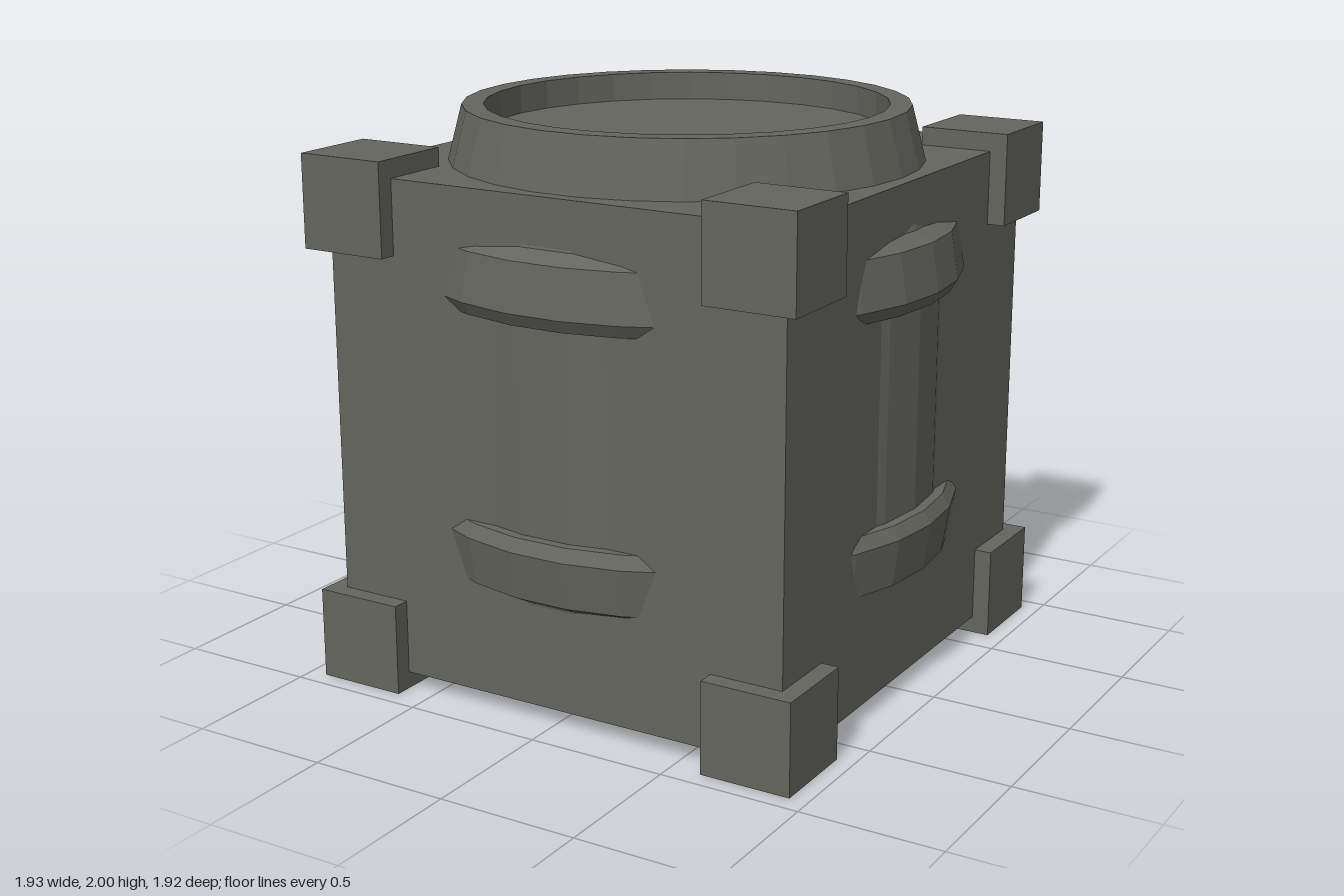
import * as THREE from 'three';

export function createModel() {
  const model = new THREE.Group();
  model.name = 'barrelCrate';

  const metal = new THREE.MeshStandardMaterial({ color: 0x64655e, flatShading: true });
  metal.name = 'dull grey metal';

  const add = (name, geometry, x = 0, y = 0, z = 0) => {
    const mesh = new THREE.Mesh(geometry, metal);
    mesh.name = name;
    mesh.position.set(x, y, z);
    model.add(mesh);
  };

  // Square crate body
  const mid = 1.035;
  const body = 1.745;
  add('crateBody', new THREE.BoxGeometry(body, 1.75, body), 0, 0.935, 0);

  // Cube guards on all eight corners
  const guard = 0.325;
  for (const x of [-1, 1])
    for (const z of [-1, 1])
      for (const y of [guard / 2, 1.875 - guard / 2])
        add('cornerGuard', new THREE.BoxGeometry(guard, guard, guard), x * 0.773, y, z * 0.773);

  // Barrel pushing through the crate: upper half profile, mirrored for the lower half
  const upper = [
    [0.905, 1.395], [0.94, 1.395], [0.967, 1.44], [0.942, 1.607],
    [0.88, 1.64], [0.825, 1.81], [0.775, 2.0],
  ];
  const lower = upper.map(([r, y]) => [r, 2 * mid - y]).reverse();
  // Raised rim with a recessed lid
  const lid = [[0.7, 2.0], [0.7, 1.9], [0, 1.9]];
  const profile = [[0, 0.07], ...lower, ...upper, ...lid].map(([r, y]) => new THREE.Vector2(r, y));
  add('barrel', new THREE.LatheGeometry(profile, 30, Math.PI / 2));

  return model;
}
